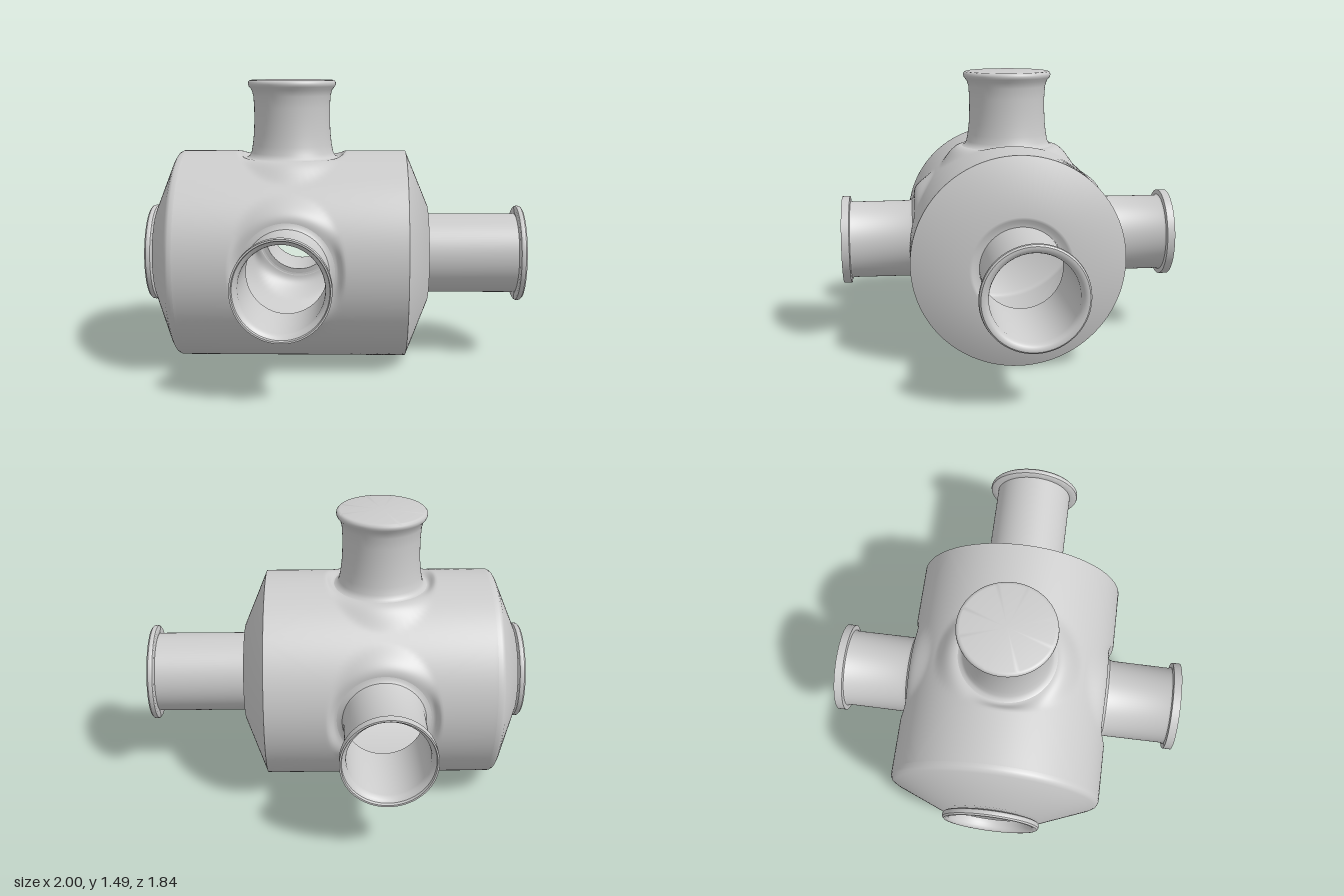
import * as THREE from 'three';
import { mergeVertices, toCreasedNormals } from 'three/addons/utils/BufferGeometryUtils.js';

const R = 0.555, AXIS_Y = 0.557;   // barrel radius and axis height
const PORT_X = -0.235, OVAL = 0.97; // side port position, slight ovality
const X0 = -0.8, X1 = 0.37;        // straight part of the barrel
const SIDE = 24, RINGS = 28, SEG = SIDE * 4;

const material = new THREE.MeshStandardMaterial({ color: 0xcccccc, side: THREE.DoubleSide });

// Revolved part from [radius, height] pairs, axis along +y
function lathe(name, profile, crease = 0.6) {
  const geo = new THREE.LatheGeometry(profile.map(([r, h]) => new THREE.Vector2(r, h)), SEG);
  const mesh = new THREE.Mesh(toCreasedNormals(geo, crease), material);
  mesh.name = name;
  return mesh;
}

// Barrel wall: four quarter patches, each a polar grid from a port hole to the patch border.
// Around a port the curved wall blends into a flat pad.
function barrelGeometry() {
  const pos = [], index = [];
  const q = Math.PI / 4, aMin = X0 - PORT_X, aMax = X1 - PORT_X;
  const corners = [[aMin, -q], [aMax, -q], [aMax, q], [aMin, q]];
  const border = [];
  corners.forEach(([a, t], k) => {
    const [a2, t2] = corners[(k + 1) % 4];
    for (let i = 0; i < SIDE; i++) {
      const f = i / SIDE;
      border.push([a + (a2 - a) * f, t + (t2 - t) * f]);
    }
  });
  const n = border.length;
  for (let quarter = 0; quarter < 4; quarter++) {
    const alpha = quarter * Math.PI / 2;      // 0 top, 1 front, 2 bottom, 3 back
    const open = quarter !== 2;
    const hole = open ? 0.235 : 0;
    const c = Math.cos(alpha), s = Math.sin(alpha), start = pos.length / 3;
    for (let i = 0; i <= RINGS; i++) {
      const f = Math.pow(i / RINGS, 1.5);
      for (const [ea, et] of border) {
        const phi = Math.atan2(et * R, ea);
        const a0 = hole * OVAL * Math.cos(phi);
        const t0 = Math.asin(hole * Math.sin(phi) / R);
        const a = a0 + (ea - a0) * f, t = t0 + (et - t0) * f;
        const b = R * Math.sin(t);
        let d = R * Math.cos(t);
        if (open) {
          const rho = Math.hypot(a, b), across = (b / rho) ** 2;
          const reach = 0.04 + 0.09 * across;
          const w = THREE.MathUtils.smoothstep(rho, 0.25, 0.25 + reach);
          d = 0.523 + (d - 0.523) * w;
        }
        pos.push(PORT_X + a, d * c - b * s, d * s + b * c);
      }
    }
    for (let i = 0; i < RINGS; i++) {
      for (let j = 0; j < n; j++) {
        const k = (j + 1) % n, o = start + i * n, p = o + n;
        index.push(o + j, o + k, p + j, o + k, p + k, p + j);
      }
    }
  }
  const geo = new THREE.BufferGeometry();
  geo.setAttribute('position', new THREE.Float32BufferAttribute(pos, 3));
  geo.setIndex(index);
  const merged = mergeVertices(geo, 1e-4);
  merged.computeVertexNormals();
  return merged;
}

export function createModel() {
  const model = new THREE.Group();
  model.name = 'vesselChamber';
  const body = new THREE.Group();
  body.name = 'body';
  body.position.y = AXIS_Y;
  model.add(body);

  const barrel = new THREE.Mesh(barrelGeometry(), material);
  barrel.name = 'barrel';
  body.add(barrel);

  // Tapered ends, with a shallow groove round the port
  const leftEnd = lathe('leftEndCone', [
    [R, 0.37], [0.265, 0.49], [0.25, 0.487], [0.235, 0.477], [0.211, 0.475],
  ]);
  leftEnd.rotation.z = -Math.PI / 2;
  const rightEnd = lathe('rightEndCone', [
    [R, 0.8], [0.554, 0.82], [0.547, 0.833], [0.53, 0.843], [0.265, 0.955], [0.211, 0.957],
  ], 0.9);
  rightEnd.rotation.z = Math.PI / 2;
  body.add(leftEnd, rightEnd);

  // Long and short end ports with a rounded lip
  const endPort = (name, base) => lathe(name, [
    [0.213, base], [0.213, 0.963], [0.247, 0.964], [0.254, 0.969], [0.257, 0.979],
    [0.255, 0.991], [0.247, 0.999], [0.237, 1], [0.222, 0.993], [0.214, 0.98],
    [0.209, 0.965], [0.209, base],
  ]);
  const longPort = endPort('leftPort', 0.47);
  longPort.rotation.z = -Math.PI / 2;
  const shortPort = endPort('rightPort', 0.94);
  shortPort.rotation.z = Math.PI / 2;
  body.add(longPort, shortPort);

  // Front and back ports with a flat flange and stepped mouth
  for (const [name, dir] of [['frontPort', 1], ['backPort', -1]]) {
    const port = lathe(name, [
      [0.252, 0.522], [0.232, 0.526], [0.219, 0.536], [0.213, 0.555], [0.212, 0.865],
      [0.217, 0.875], [0.243, 0.878], [0.243, 0.92], [0.234, 0.92], [0.231, 0.905],
      [0.219, 0.896], [0.211, 0.885], [0.208, 0.87], [0.208, 0.515], [0.235, 0.52],
    ]);
    port.position.x = PORT_X;
    port.rotation.x = dir * Math.PI / 2;
    port.scale.x = OVAL;
    body.add(port);
  }

  // Capped top port with a waisted neck
  const top = lathe('cappedTopPort', [
    [0.252, 0.523], [0.236, 0.53], [0.226, 0.55], [0.218, 0.59], [0.211, 0.65],
    [0.208, 0.72], [0.208, 0.79], [0.212, 0.85], [0.222, 0.882], [0.236, 0.898],
    [0.241, 0.91], [0.24, 0.921], [0.232, 0.93], [0.222, 0.932], [0, 0.932],
  ], 0.9);
  top.position.x = PORT_X;
  top.scale.x = OVAL;
  body.add(top);

  return model;
}
